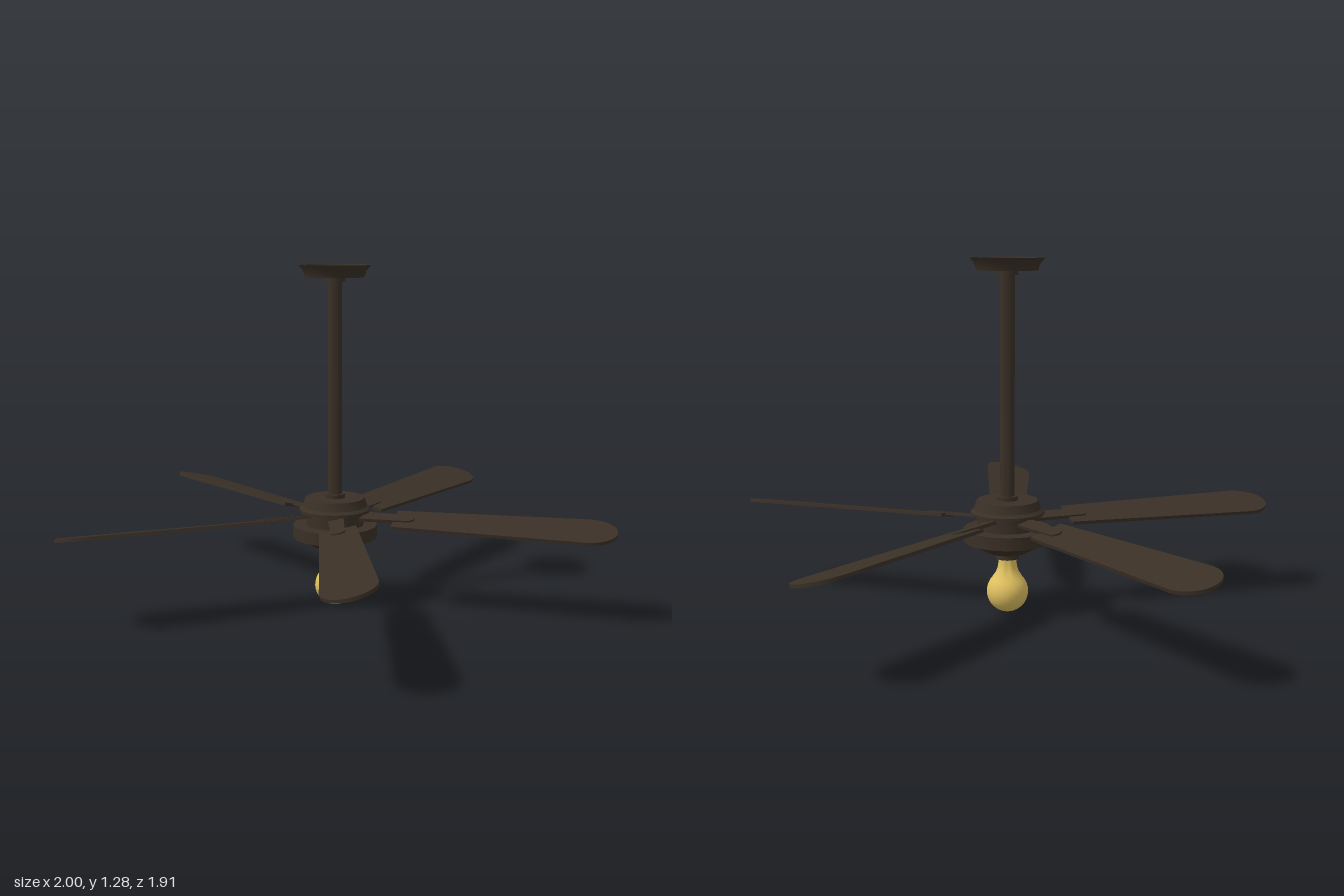
import * as THREE from 'three';
import { toCreasedNormals } from 'three/addons/utils/BufferGeometryUtils.js';

const BLADES = 5;
const PITCH = THREE.MathUtils.degToRad(13);
const BLADE_Y = 0.343;

export function createModel() {
  const bronze = new THREE.MeshStandardMaterial({ color: 0x3a3026 });
  bronze.name = 'darkBronze';
  const amber = new THREE.MeshStandardMaterial({ color: 0xe0c160 });
  amber.name = 'amberGlass';

  const fan = new THREE.Group();
  fan.name = 'ceilingFan';

  // Turned part from [radius, height] points, listed bottom to top on the outside
  function turned(name, points, sides, material, crease = 0.5) {
    const lathe = new THREE.LatheGeometry(points.map(([r, y]) => new THREE.Vector2(r, y)), sides);
    const mesh = new THREE.Mesh(toCreasedNormals(lathe, crease), material);
    mesh.name = name;
    fan.add(mesh);
  }

  // Hollow ceiling canopy, open at the top
  turned('ceilingCanopy', [
    [0, 1.24], [0.108, 1.24], [0.115, 1.262], [0.134, 1.285],
    [0.126, 1.285], [0.112, 1.25], [0, 1.25],
  ], 24, bronze);

  // Down rod with its collars
  turned('upperCollar', [[0, 1.224], [0.038, 1.224], [0.038, 1.242], [0, 1.242]], 16, bronze);
  turned('downRod', [[0.026, 0.41], [0.026, 1.241]], 16, bronze);
  turned('lowerCollar', [[0, 0.41], [0.038, 0.41], [0.038, 0.432], [0, 0.432]], 16, bronze);

  // Motor housing: top cap, recessed core for the arms, wide lower drum
  turned('motorCap', [
    [0, 0.366], [0.134, 0.366], [0.134, 0.376], [0.122, 0.386], [0.112, 0.417], [0, 0.417],
  ], 16, bronze);
  turned('motorCore', [[0.108, 0.305], [0.108, 0.37]], 16, bronze);
  turned('motorDrum', [
    [0, 0.225], [0.075, 0.225], [0.142, 0.264], [0.16, 0.266], [0.16, 0.313], [0, 0.313],
  ], 16, bronze, 0.45);

  // Lamp socket and bulb
  turned('lampSocket', [[0, 0.2], [0.043, 0.2], [0.043, 0.227], [0, 0.227]], 16, bronze);
  const bulb = [];
  for (let i = 0; i <= 12; i++) {
    const a = (i / 12) * 2.3;
    bulb.push([0.076 * Math.sin(a), 0.076 - 0.076 * Math.cos(a)]);
  }
  bulb.push([0.043, 0.147], [0.036, 0.165], [0.033, 0.183], [0.033, 0.205]);
  bulb[0][1] = 0;
  turned('lightBulb', bulb, 28, amber, 1.2);

  // Flat outline extruded down from height top, then tilted about its length (+z)
  function plate(shape, depth, top) {
    const g = new THREE.ExtrudeGeometry(shape, { depth, bevelEnabled: false, curveSegments: 12 });
    g.rotateX(Math.PI / 2);
    g.translate(0, top, 0);
    g.rotateZ(PITCH);
    return toCreasedNormals(g, 0.5);
  }

  // Blade outline: tapered towards the hub, round at the tip
  const bladeShape = new THREE.Shape();
  bladeShape.moveTo(-0.068, 0.23);
  bladeShape.lineTo(0.068, 0.23);
  bladeShape.lineTo(0.093, 0.94);
  bladeShape.absellipse(0, 0.94, 0.093, 0.105, 0, Math.PI, false);
  bladeShape.closePath();
  const bladeGeometry = plate(bladeShape, 0.012, 0.006);

  // Arm outline: narrow strap with a round end resting on the blade
  const armShape = new THREE.Shape();
  armShape.moveTo(-0.03, 0.09);
  armShape.lineTo(0.03, 0.09);
  armShape.lineTo(0.026, 0.28);
  armShape.absarc(0, 0.28, 0.026, 0, Math.PI, false);
  armShape.closePath();
  const armGeometry = plate(armShape, 0.012, 0.012);

  for (let i = 0; i < BLADES; i++) {
    const unit = new THREE.Group();
    unit.name = 'bladeUnit' + (i + 1);
    const blade = new THREE.Mesh(bladeGeometry, bronze);
    blade.name = 'blade';
    const arm = new THREE.Mesh(armGeometry, bronze);
    arm.name = 'bladeArm';
    unit.add(blade, arm);
    unit.position.y = BLADE_Y;
    unit.rotation.y = (i / BLADES) * Math.PI * 2;
    fan.add(unit);
  }

  // The five blades reach further forward than back
  fan.position.z = -0.095;
  const model = new THREE.Group();
  model.name = 'model';
  model.add(fan);
  return model;
}
